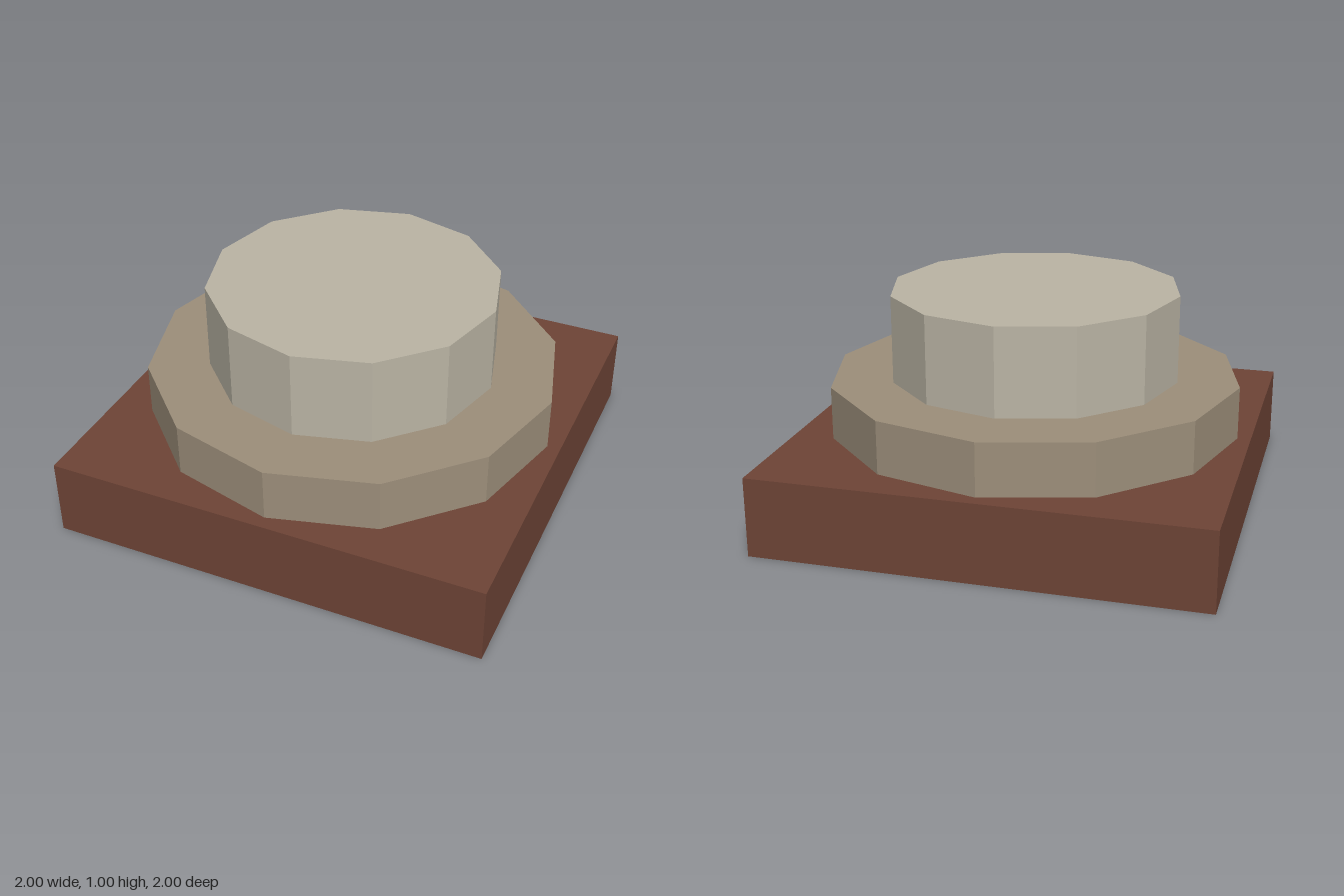
import * as THREE from 'three';

const material = (name, color) => {
  const m = new THREE.MeshStandardMaterial({ color });
  m.name = name;
  m.flatShading = true;
  return m;
};

export function createModel() {
  const group = new THREE.Group();
  group.name = 'steppedPedestal';

  const brick = material('redBrown', 0x6e4436);
  const stone = material('tan', 0x9c8e7a);
  const pale = material('paleStone', 0xbab4a4);

  const add = (name, geometry, mat, bottom, height) => {
    const mesh = new THREE.Mesh(geometry, mat);
    mesh.name = name;
    mesh.position.y = bottom + height / 2;
    group.add(mesh);
  };

  // Square plinth
  add('plinth', new THREE.BoxGeometry(2, 0.36, 2), brick, 0, 0.36);

  // Two twelve-sided drums stacked on the plinth
  add('lowerDrum', new THREE.CylinderGeometry(0.94, 0.94, 0.24, 12), stone, 0.36, 0.24);
  add('upperDrum', new THREE.CylinderGeometry(0.66, 0.66, 0.4, 12), pale, 0.6, 0.4);

  return group;
}
